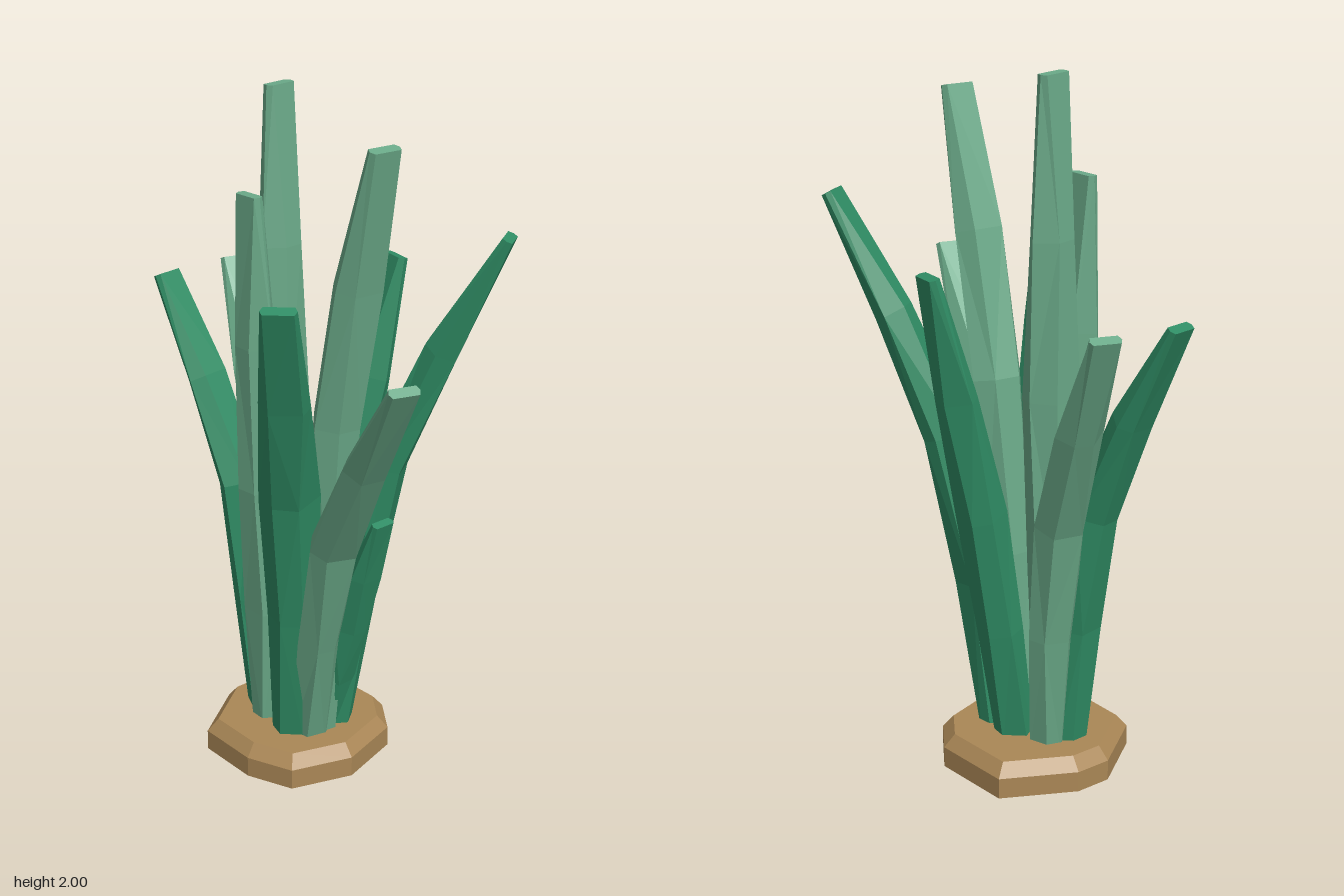
import * as THREE from 'three';

function flatMaterial(name, color) {
  const material = new THREE.MeshStandardMaterial({ color, flatShading: true });
  material.name = name;
  return material;
}
const darkGreen = flatMaterial('darkGreen', 0x2f8c64);
const lightGreen = flatMaterial('lightGreen', 0x6aa988);
const soil = flatMaterial('soil', 0xaa8756);

// Skin between rings of points, listed counter-clockwise seen from the last ring, with both ends capped
function loft(rings) {
  const n = rings[0].length;
  const index = [];
  for (let i = 0; i < rings.length - 1; i++) {
    for (let k = 0; k < n; k++) {
      const a = i * n + k, b = i * n + (k + 1) % n;
      if ((i + k) % 2) index.push(a, b, b + n, a, b + n, a + n);
      else index.push(a, b, a + n, b, b + n, a + n);
    }
  }
  const top = (rings.length - 1) * n;
  for (let k = 1; k < n - 1; k++) {
    index.push(0, k + 1, k);
    index.push(top, top + k, top + k + 1);
  }
  const geometry = new THREE.BufferGeometry().setFromPoints(rings.flat());
  geometry.setIndex(index);
  const flat = geometry.toNonIndexed();
  flat.computeVertexNormals();
  return flat;
}

// Width and thickness of a leaf at its five sections
const WIDTH = [0.11, 0.135, 0.15, 0.14, 0.09];
const THICK = [0.09, 0.11, 0.115, 0.09, 0.03];

// Leaf curving through root, bend and tip, its flat side spread along the given direction
function leafGeometry(root, bend, tip, side, scale, phase) {
  const curve = new THREE.CatmullRomCurve3([root, bend, tip]);
  const rings = WIDTH.map((width, i) => {
    const p = curve.getPoint(i / 4);
    const tangent = curve.getTangent(i / 4);
    const w = side.clone().addScaledVector(tangent, -side.dot(tangent)).normalize();
    const n = tangent.clone().cross(w);
    const isTip = i === 4;
    return Array.from({ length: 6 }, (_, k) => {
      // slightly uneven facets below a squared-off tip
      const wobble = isTip ? 0 : 0.16 * Math.sin(phase + i * 2.3 + k * 1.9);
      const angle = k * Math.PI / 3 + wobble;
      const across = Math.cos(angle) * (isTip && k % 3 ? 1.7 : 1 + wobble * 0.4);
      return p.clone()
        .addScaledVector(w, across * width * scale / 2)
        .addScaledVector(n, Math.sin(angle) * THICK[i] * scale * 0.575);
    });
  });
  return loft(rings);
}

// Base outline as x, z, and its bevelled rings
const OUTLINE = [[-0.25, -0.27], [-0.36, -0.07], [-0.36, 0.04], [-0.23, 0.23], [-0.03, 0.24],
  [0.11, 0.19], [0.17, 0.01], [0.11, -0.19], [0, -0.27]];

function baseRing(y, s) {
  return OUTLINE.map(([x, z]) =>
    new THREE.Vector3(-0.095 + (x + 0.095) * s, y, -0.015 + (z + 0.015) * s));
}

export function createModel() {
  const group = new THREE.Group();
  let count = 0;

  const addMesh = (name, geometry, material) => {
    const mesh = new THREE.Mesh(geometry, material);
    mesh.name = name;
    group.add(mesh);
  };

  // By default a leaf spreads at right angles to its lean
  const addLeaf = (name, material, root, bend, tip, scale = 1, spread = null) => {
    const [a, b, c] = [root, bend, tip].map(p => new THREE.Vector3(...p));
    const side = spread ? new THREE.Vector3(...spread) : new THREE.Vector3(c.z - a.z, 0, a.x - c.x);
    addMesh(name, leafGeometry(a, b, c, side.normalize(), scale, count++ * 1.7), material);
  };

  addMesh('base', loft([baseRing(0, 1), baseRing(0.06, 1), baseRing(0.097, 0.88)]), soil);

  // Light leaves
  addLeaf('tallLeaf', lightGreen, [-0.17, 0.07, 0], [-0.15, 1.1, 0], [-0.17, 1.995, -0.015], 1.12, [0.15, 0, 1]);
  addLeaf('frontUprightLeaf', lightGreen, [-0.15, 0.07, 0.05], [-0.14, 0.85, 0.085], [-0.15, 1.71, 0.11]);
  addLeaf('leftUprightLeaf', lightGreen, [0, 0.07, 0], [0.1, 1.1, 0.01], [0.293, 1.905, 0.025], 1.1);
  addLeaf('leftLowLeaf', lightGreen, [0, 0.07, 0.03], [0.18, 0.77, 0.09], [0.572, 1.37, 0.21]);
  addLeaf('rightBackLeaf', lightGreen, [-0.19, 0.07, -0.04], [-0.28, 0.78, -0.08], [-0.56, 1.385, -0.17]);

  // Dark leaves
  addLeaf('rightLeaf', darkGreen, [-0.21, 0.07, 0.02], [-0.3, 0.8, 0.03], [-0.582, 1.38, 0.07]);
  addLeaf('frontLeaf', darkGreen, [-0.035, 0.07, 0.06], [0.06, 0.9, 0.15], [0.235, 1.525, 0.335], 1.1);
  addLeaf('leftBackLeaf', darkGreen, [0, 0.07, -0.07], [0.14, 0.95, -0.14], [0.412, 1.63, -0.325]);
  addLeaf('backLeaf', darkGreen, [-0.09, 0.07, -0.08], [-0.08, 0.78, -0.19], [-0.045, 1.475, -0.34], 1.05);
  addLeaf('shortLeaf', darkGreen, [-0.01, 0.07, -0.04], [0.09, 0.45, -0.05], [0.235, 0.82, -0.04], 0.8);

  return group;
}
